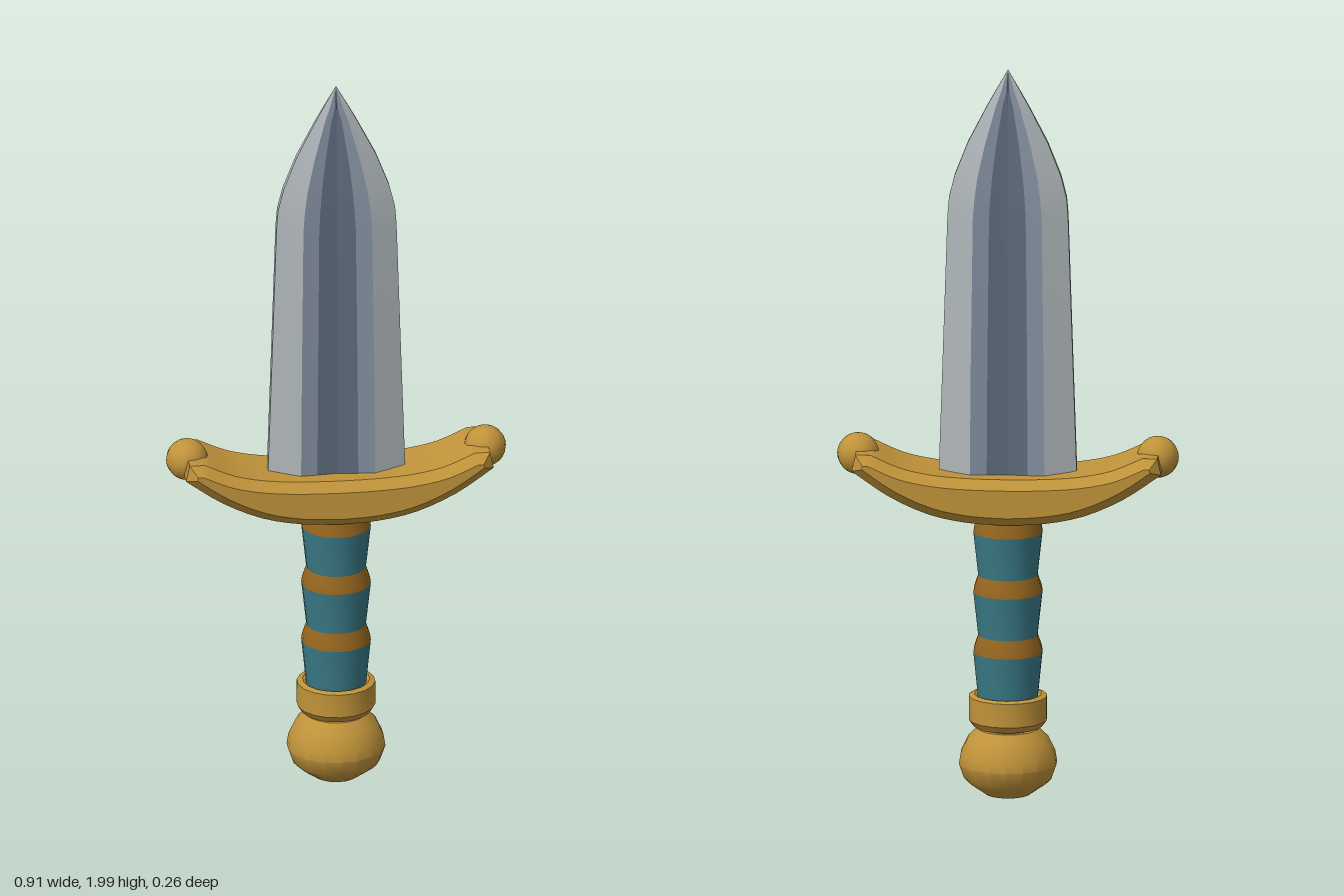
import * as THREE from 'three';
import { toCreasedNormals } from 'three/addons/utils/BufferGeometryUtils.js';

const paint = (name, color) => {
  const m = new THREE.MeshStandardMaterial({ color });
  m.name = name;
  return m;
};

export function createModel() {
  const gold = paint('gold', 0xc0933a);
  const bronze = paint('bronze', 0x96661f);
  const teal = paint('teal', 0x3a7a86);
  const steel = paint('steel', 0xb0b7ba);
  const midSteel = paint('midSteel', 0x8490a0);
  const darkSteel = paint('darkSteel', 0x5f6b7d);

  const model = new THREE.Group();
  model.name = 'dagger';
  const add = (name, geometry, material, parent = model) => {
    const mesh = new THREE.Mesh(geometry, material);
    mesh.name = name;
    parent.add(mesh);
    return mesh;
  };
  // Turned part from [radius, y] pairs, bottom to top
  const turned = (name, profile, material, parent) => add(name, toCreasedNormals(
    new THREE.LatheGeometry(profile.map(([r, y]) => new THREE.Vector2(r, y)), 18), 0.6), material, parent);

  // Pommel and collar
  turned('pommel', [[0, 0.008], [0.06, 0.01], [0.105, 0.042], [0.118, 0.055], [0.132, 0.095],
    [0.127, 0.125], [0.108, 0.165], [0.082, 0.19], [0.07, 0.19], [0.07, 0.22]], gold);
  turned('collar', [[0.06, 0.195], [0.092, 0.197], [0.105, 0.215], [0.105, 0.28], [0.09, 0.285], [0.07, 0.27]], gold);

  // Grip: flaring teal segments separated by bronze rings
  const grip = new THREE.Group();
  grip.name = 'grip';
  model.add(grip);
  for (const [y0, y1, y2] of [[0.27, 0.4, 0.447], [0.447, 0.565, 0.612], [0.612, 0.73, 0.79]]) {
    turned('gripSegment', [[0.08, y0], [0.093, y1]], teal, grip);
    turned('gripRing', [[0.093, y1], [0.091, y1 + 0.015], [0.08, y2]], bronze, grip);
  }

  // Crossguard: bevelled upswept bar
  const lower = [[0, 0.793], [0.1, 0.799], [0.2, 0.82], [0.3, 0.865], [0.385, 0.923]];
  const upper = [[0.368, 0.932], [0.29, 0.898], [0.2, 0.879], [0.1, 0.871], [0, 0.869]];
  const smooth = (pts) => new THREE.SplineCurve(pts.map(([x, y]) => new THREE.Vector2(x, y))).getPoints(12);
  const half = [...smooth(lower), new THREE.Vector2(0.383, 0.932), ...smooth(upper)];
  const mirrored = half.slice(1, -1).reverse().map((p) => new THREE.Vector2(-p.x, p.y));
  const guard = new THREE.ExtrudeGeometry(new THREE.Shape([...half, ...mirrored]), {
    depth: 0.18, bevelEnabled: true, bevelThickness: 0.025, bevelSize: 0.025, bevelSegments: 1,
  });
  guard.translate(0, 0, -0.09);
  add('crossguard', toCreasedNormals(guard, 0.5), gold);
  for (const side of [-1, 1]) {
    add('guardBall', new THREE.SphereGeometry(0.056, 16, 12), gold).position.set(side * 0.4, 0.94, 0);
  }

  // Blade levels: y, half width, groove shoulder, groove floor edge, half thickness, edge half thickness
  const levels = [
    [0.84, 0.186, 0.1, 0.055, 0.051, 0.015],
    [1.2, 0.174, 0.097, 0.053, 0.047, 0.014],
    [1.6, 0.161, 0.092, 0.049, 0.04, 0.013],
    [1.65, 0.157, 0.088, 0.046, 0.038, 0.012],
    [1.71, 0.142, 0.08, 0.041, 0.034, 0.011],
    [1.8, 0.107, 0.06, 0.03, 0.026, 0.009],
    [1.9, 0.056, 0.032, 0.014, 0.015, 0.006],
    [1.94, 0.034, 0.018, 0.004, 0.01, 0.004],
    [2, 0, 0, 0, 0, 0],
  ];
  const rings = levels.map(([y, w, m, f, t, e]) => {
    const front = [[w, e], [m, t], [f, t * 0.88], [0, t * 0.72], [-f, t * 0.88], [-m, t], [-w, e]];
    return [...front, ...front.map(([x, z]) => [-x, -z])].map(([x, z]) => [x, y, z]);
  });
  const blade = new THREE.Group();
  blade.name = 'blade';
  model.add(blade);
  const strips = (name, columns, material) => {
    const pos = [];
    for (let k = 0; k < rings.length - 1; k++) {
      for (const i of columns.flatMap((c) => [c, c + 7])) {
        const j = (i + 1) % 14;
        const [a, b, c, d] = [rings[k][i], rings[k][j], rings[k + 1][j], rings[k + 1][i]];
        if (k < rings.length - 2) pos.push(...a, ...d, ...c);
        pos.push(...a, ...c, ...b);
      }
    }
    const g = new THREE.BufferGeometry();
    g.setAttribute('position', new THREE.Float32BufferAttribute(pos, 3));
    add(name, toCreasedNormals(g, 0.12), material, blade);
  };
  strips('bladeBevels', [0, 5, 6], steel);
  strips('grooveShoulders', [1, 4], midSteel);
  strips('grooveFloor', [2, 3], darkSteel);

  return model;
}
